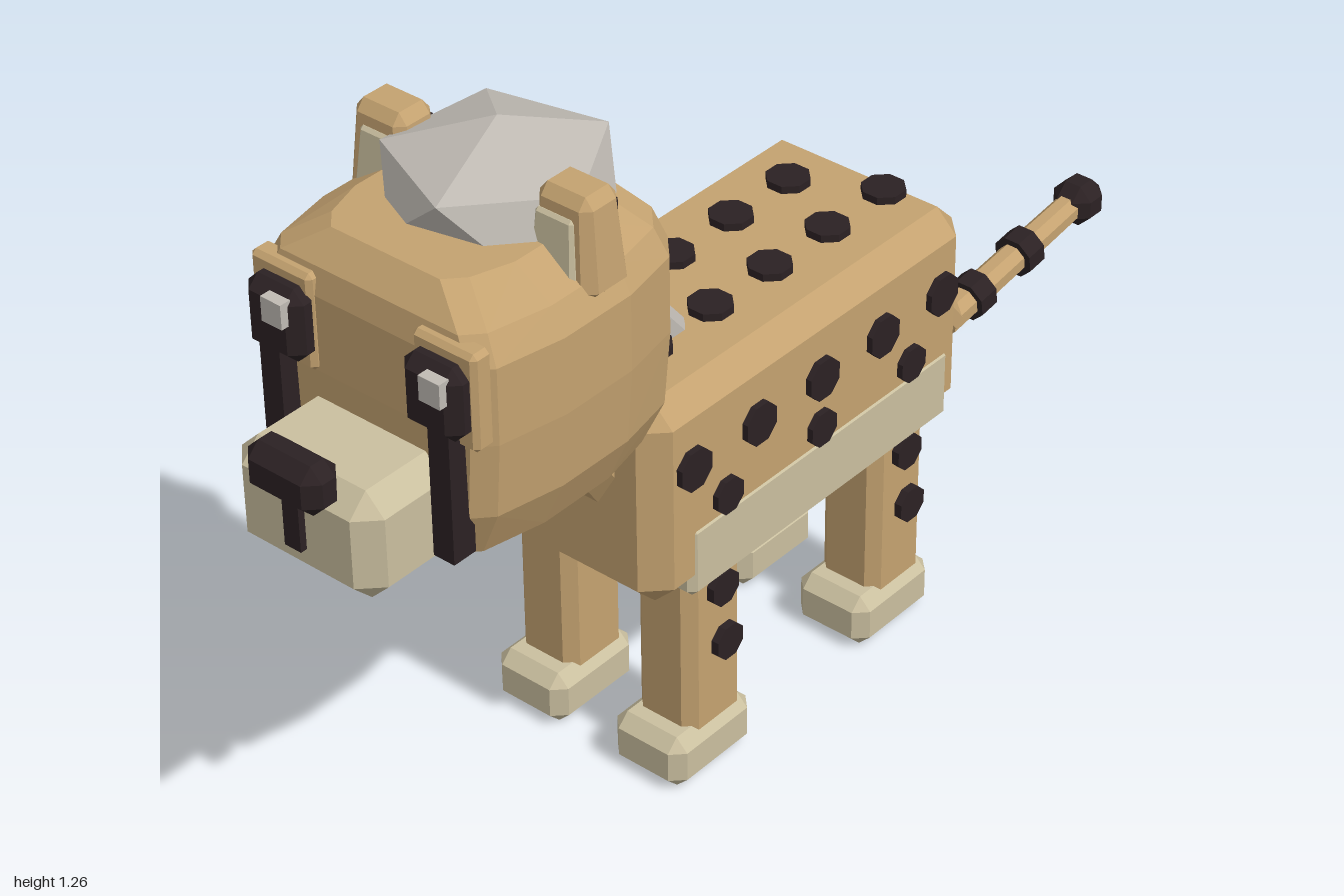
import * as THREE from 'three';
import { ConvexGeometry } from 'three/addons/geometries/ConvexGeometry.js';

const mat = (name, color) => {
  const m = new THREE.MeshStandardMaterial({ color });
  m.name = name;
  return m;
};

// Box with a flat chamfer on every edge; the top may be narrower than the base.
function chamferBox(w, h, d, c, taper = 1) {
  const pts = [];
  for (const sx of [-1, 1]) for (const sy of [-1, 1]) for (const sz of [-1, 1]) {
    for (let axis = 0; axis < 3; axis++) {
      const p = [w / 2 - c, h / 2 - c, d / 2 - c];
      p[axis] += c;
      const k = sy > 0 ? taper : 1;
      pts.push(new THREE.Vector3(sx * p[0] * k, sy * p[1], sz * p[2] * k));
    }
  }
  return new ConvexGeometry(pts);
}

function faceted(geometry) {
  const g = geometry.toNonIndexed();
  g.computeVertexNormals();
  return g;
}

export function createModel() {
  const model = new THREE.Group();
  model.name = 'spottedCat';
  const tan = mat('tanFur', 0xc4a270);
  const cream = mat('creamFur', 0xcabf9f);
  const dark = mat('darkFur', 0x2b2123);
  const grey = mat('greyMane', 0xc0bbb4);

  const add = (name, geometry, material, x = 0, y = 0, z = 0) => {
    const mesh = new THREE.Mesh(geometry, material);
    mesh.name = name;
    mesh.position.set(x, y, z);
    model.add(mesh);
    return mesh;
  };

  // Octagonal prism running from a to b
  const rod = (name, a, b, r0, r1, material) => {
    const from = new THREE.Vector3(...a), to = new THREE.Vector3(...b);
    const dir = to.clone().sub(from);
    const g = faceted(new THREE.CylinderGeometry(r1, r0, dir.length(), 8).rotateY(Math.PI / 8));
    const mesh = add(name, g, material);
    mesh.position.copy(from).add(to).multiplyScalar(0.5);
    mesh.quaternion.setFromUnitVectors(new THREE.Vector3(0, 1, 0), dir.normalize());
    return mesh;
  };

  // Body, belly, neck and the tuft behind the neck
  add('body', chamferBox(0.4, 0.377, 0.78, 0.04), tan, 0, 0.574, 0.03);
  add('belly', chamferBox(0.406, 0.135, 0.65, 0.012), cream, 0, 0.448, 0.015);
  add('neck', chamferBox(0.235, 0.42, 0.23, 0.035), tan, 0, 0.72, 0.39).rotation.x = 0.6;
  add('neckTuft', chamferBox(0.152, 0.18, 0.075, 0.018), grey, 0, 0.80, 0.262).rotation.x = 0.69;

  // Spots on the back, staggered in two columns
  for (let i = 0; i < 9; i++) {
    const x = i % 2 ? -0.07 : 0.069, z = -0.297 + i * 0.0722;
    rod('backSpot', [x, 0.745, z], [x, 0.776, z], 0.038, 0.038, dark);
  }

  // Legs, paws and side spots, mirrored left and right
  for (const s of [-1, 1]) {
    for (const [label, z, pawZ] of [['front', 0.26, 0.278], ['rear', -0.21, -0.192]]) {
      add(label + 'Leg', chamferBox(0.12, 0.4, 0.135, 0.02), tan, s * 0.126, 0.25, z);
      add(label + 'Paw', chamferBox(0.147, 0.098, 0.193, 0.022), cream, s * 0.126, 0.053, pawZ);
      for (const [y, dz] of [[0.355, -0.004], [0.242, -0.015]])
        rod('legSpot', [s * 0.17, y, z + dz], [s * 0.2, y, z + dz], 0.033, 0.033, dark);
    }
    for (const z of [0.337, 0.182, 0.027, -0.126, -0.28])
      rod('sideSpot', [s * 0.18, 0.634, z], [s * 0.211, 0.634, z], 0.038, 0.038, dark);
    for (const z of [0.257, 0.027, -0.203])
      rod('lowerSideSpot', [s * 0.18, 0.54, z], [s * 0.211, 0.54, z], 0.033, 0.033, dark);
  }

  // Tail with dark rings and tip
  const root = [0, 0.69, -0.3], bend = [0, 0.345, -0.578], end = [0, 0.4, -0.95];
  rod('tailUpper', root, bend, 0.034, 0.03, tan);
  rod('tailLower', [0, 0.343, -0.565], end, 0.029, 0.026, tan);
  const along = (a, b, z) => [0, a[1] + (b[1] - a[1]) * (z - a[2]) / (b[2] - a[2]), z];
  rod('tailRing', along(root, bend, -0.487), along(root, bend, -0.517), 0.04, 0.04, dark);
  for (const z of [-0.65, -0.788])
    rod('tailRing', along(bend, end, z + 0.021), along(bend, end, z - 0.021), 0.04, 0.04, dark);
  add('tailTip', chamferBox(0.08, 0.08, 0.082, 0.024), dark, 0, 0.4, -0.959);

  // Head: hull of barrel-shaped levels [y, half width, back z, front z]
  const headPts = [];
  for (const [y, hx, zb, zf] of [
    [0.69, 0.155, 0.41, 0.77], [0.715, 0.195, 0.38, 0.797], [0.8, 0.234, 0.372, 0.805],
    [0.93, 0.245, 0.37, 0.807], [1.06, 0.245, 0.37, 0.807], [1.105, 0.222, 0.378, 0.798],
    [1.15, 0.155, 0.41, 0.76],
  ]) {
    for (const s of [-1, 1]) {
      for (const [dx, z] of [[0, 0.52], [0, 0.66], [0.022, zb + 0.04], [0.022, zf - 0.03], [0.06, zb], [0.05, zf]])
        headPts.push(new THREE.Vector3(s * (hx - dx), y, z));
    }
  }
  add('head', new ConvexGeometry(headPts), tan);

  // Faceted crest on top of the head
  const crestPts = [new THREE.Vector3(0, 1.265, 0.523), new THREE.Vector3(0, 1.06, 0.523)];
  for (let i = 0; i < 5; i++) {
    const a = i * Math.PI * 0.4 + 0.1;
    crestPts.push(new THREE.Vector3(Math.cos(a) * 0.174, 1.206, 0.523 + Math.sin(a) * 0.174));
    crestPts.push(new THREE.Vector3(-Math.cos(a) * 0.174, 1.115, 0.523 - Math.sin(a) * 0.174));
  }
  add('crest', new ConvexGeometry(crestPts), grey);

  // Muzzle, nose and mouth
  add('muzzle', chamferBox(0.282, 0.188, 0.2, 0.035), cream, 0, 0.789, 0.863);
  add('nose', chamferBox(0.146, 0.085, 0.07, 0.022), dark, 0, 0.884, 0.965);
  add('mouthLine', new THREE.BoxGeometry(0.032, 0.085, 0.03), dark, 0, 0.8, 0.96);

  // Eyes, tear stripes and ears
  for (const s of [-1, 1]) {
    add('brow', chamferBox(0.12, 0.165, 0.04, 0.008), tan, s * 0.158, 1.013, 0.797);
    add('eye', chamferBox(0.111, 0.124, 0.055, 0.02), dark, s * 0.153, 1.012, 0.822);
    add('eyeGlint', new THREE.BoxGeometry(0.04, 0.042, 0.02), grey, s * 0.153 + 0.019, 1.042, 0.85);
    add('tearStripe', new THREE.BoxGeometry(0.04, 0.225, 0.045), dark, s * 0.165, 0.85, 0.817);
    add('ear', chamferBox(0.124, 0.165, 0.096, 0.018, 0.8), tan, s * 0.178, 1.155, 0.552);
    add('innerEar', chamferBox(0.088, 0.115, 0.02, 0.006, 0.8), cream, s * 0.17, 1.145, 0.594).rotation.x = -0.08;
    add('earBackPatch', chamferBox(0.064, 0.07, 0.022, 0.008), dark, s * 0.175, 1.165, 0.504);
  }
  return model;
}
